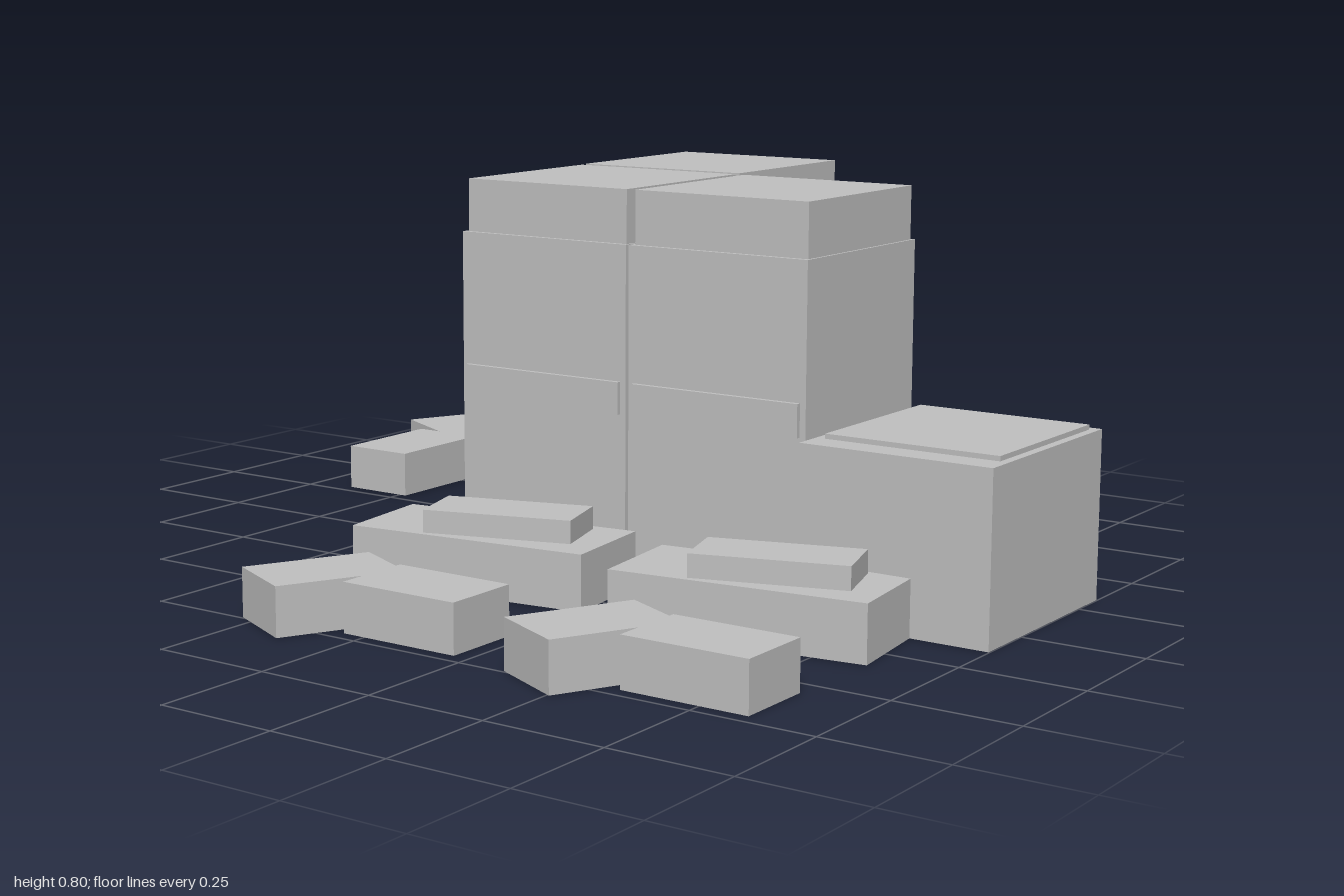
import * as THREE from 'three';

const grey = new THREE.MeshStandardMaterial({ color: 0xc0c0c0 });
grey.name = 'lightGrey';

// Box given by its [min, max] extents on each axis
function block(name, [x0, x1], [y0, y1], [z0, z1]) {
  const mesh = new THREE.Mesh(new THREE.BoxGeometry(x1 - x0, y1 - y0, z1 - z0), grey);
  mesh.position.set((x0 + x1) / 2, (y0 + y1) / 2, (z0 + z1) / 2);
  mesh.name = name;
  return mesh;
}

// Bent block: a straight arm joined to a tilted arm, outlined in x and z
function bentBlock() {
  const outline = [
    [-0.165, 0.51], [-0.05, 0.566], [-0.05, 0.553], [0.215, 0.553], [0.215, 0.72],
    [-0.05, 0.72], [-0.05, 0.663], [-0.13, 0.82], [-0.285, 0.745],
  ];
  const shape = new THREE.Shape(outline.map(([x, z]) => new THREE.Vector2(x, -z)));
  const geometry = new THREE.ExtrudeGeometry(shape, { depth: 0.1, bevelEnabled: false });
  geometry.rotateX(-Math.PI / 2);
  const mesh = new THREE.Mesh(geometry, grey);
  mesh.name = 'bentBlock';
  return mesh;
}

// One tower with its front band, cap, slab, plate and bent block
function createUnit(name) {
  const unit = new THREE.Group();
  unit.name = name;

  unit.add(
    block('towerBody', [-0.259, 0.155], [0, 0.69], [-0.335, 0.087]),
    block('towerCap', [-0.25, 0.15], [0.69, 0.8], [-0.325, 0.077]),
    block('frontBand', [-0.246, 0.142], [0.345, 0.412], [0.08, 0.097]),
  );

  const slab = block('slab', [-0.265, 0.265], [0, 0.115], [-0.1135, 0.1135]);
  slab.position.x = -0.053;
  slab.position.z = 0.255;
  slab.rotation.y = 0.123;

  const plate = block('slabPlate', [-0.1565, 0.1565], [0.115, 0.162], [-0.07, 0.07]);
  plate.position.x = -0.015;
  plate.position.z = 0.255;
  plate.rotation.y = 0.297;

  unit.add(slab, plate, bentBlock());
  return unit;
}

export function createModel() {
  const model = new THREE.Group();
  model.name = 'blockArrangement';

  // Two units side by side, and a third turned to face -x
  const placements = [
    ['centreUnit', 0, 0, 0],
    ['leftUnit', 0.635 - 0.214, 0, 0],
    ['sideUnit', -0.18, -0.499, -Math.PI / 2],
  ];
  for (const [name, x, z, turn] of placements) {
    const unit = createUnit(name);
    unit.position.set(x, 0, z);
    unit.rotation.y = turn;
    // The left unit's floor pieces are spaced wider than its tower
    if (name === 'leftUnit') {
      for (const part of unit.children) {
        if (['slab', 'slabPlate', 'bentBlock'].includes(part.name)) part.position.x += 0.214;
      }
    }
    model.add(unit);
  }

  // Low cabinet with a thin top panel
  model.add(
    block('cabinet', [0.588, 0.998], [0, 0.345], [-0.335, 0.13]),
    block('cabinetTop', [0.608, 0.98], [0.345, 0.355], [-0.315, 0.067]),
  );
  return model;
}
